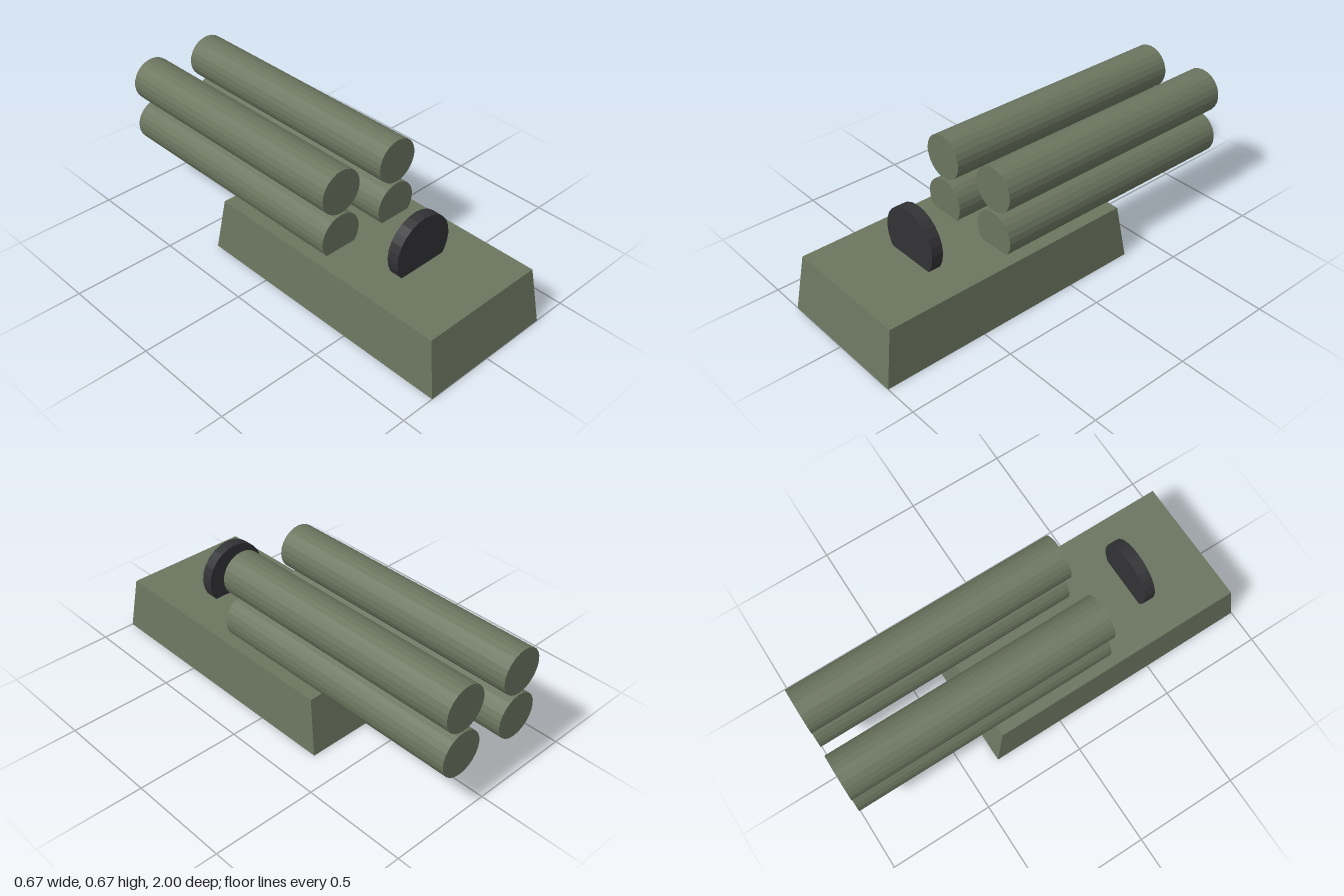
import * as THREE from 'three';

const olive = new THREE.MeshStandardMaterial({ color: 0x6b755f, flatShading: true });
const dark = new THREE.MeshStandardMaterial({ color: 0x333336, flatShading: true });

// Cylinder lying along z, between z0 and z1
function zCylinder(name, radius, x, y, z0, z1, material) {
  const geometry = new THREE.CylinderGeometry(radius, radius, z1 - z0, 24);
  geometry.rotateX(Math.PI / 2);
  const mesh = new THREE.Mesh(geometry, material);
  mesh.position.set(x, y, (z0 + z1) / 2);
  mesh.name = name;
  return mesh;
}

// Box whose top face is narrowed on all four sides
function taperedBox(width, height, depth, topWidth, topDepth) {
  const geometry = new THREE.BoxGeometry(width, height, depth);
  const p = geometry.attributes.position;
  for (let i = 0; i < p.count; i++) {
    if (p.getY(i) > 0) {
      p.setX(i, Math.sign(p.getX(i)) * topWidth / 2);
      p.setZ(i, Math.sign(p.getZ(i)) * topDepth / 2);
    }
  }
  geometry.computeVertexNormals();
  return geometry;
}

export function createModel() {
  const model = new THREE.Group();
  model.name = 'tubeLauncher';

  // Sloped base block
  const base = new THREE.Mesh(taperedBox(0.672, 0.27, 1.345, 0.628, 1.256), olive);
  base.position.set(0, 0.135, 0.3275);
  base.name = 'base';
  model.add(base);

  // Four tubes, two on each side
  const tubes = new THREE.Group();
  tubes.name = 'tubes';
  for (const [row, y] of [['lower', 0.338], ['upper', 0.563]]) {
    for (const [side, x] of [['Left', 0.168], ['Right', -0.168]]) {
      tubes.add(zCylinder(row + side + 'Tube', 0.107, x, y, -1, 0.303, olive));
    }
  }
  model.add(tubes);

  // Upright disc half sunk into the base
  model.add(zCylinder('frontDisc', 0.156, 0, 0.361, 0.565, 0.621, dark));

  return model;
}
